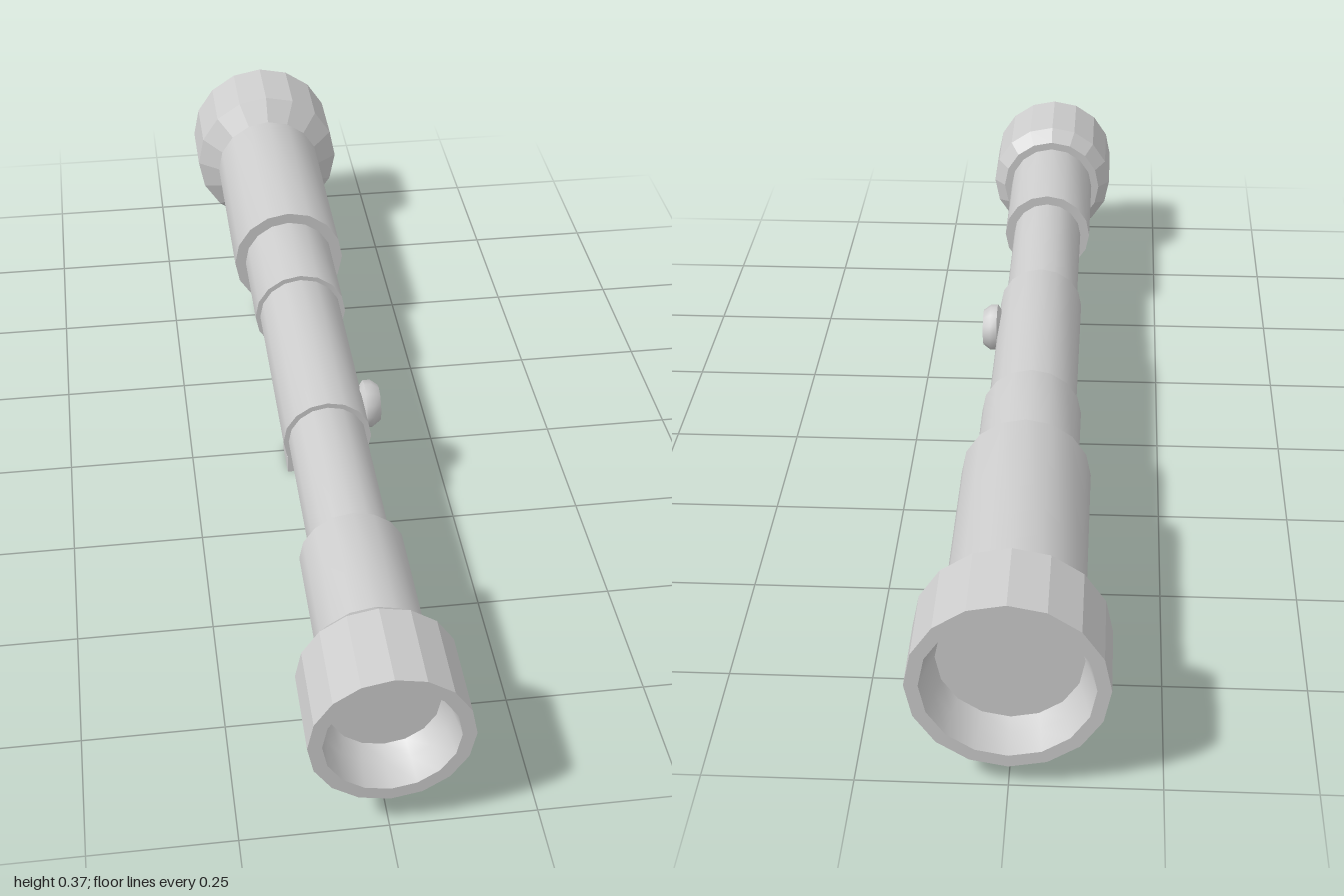
import * as THREE from 'three';
import { toCreasedNormals } from 'three/addons/utils/BufferGeometryUtils.js';

const AXIS_Y = 0.203;
const SIDES = 16;

const smooth = new THREE.MeshStandardMaterial({ color: 0xcccccc, side: THREE.DoubleSide });
const faceted = new THREE.MeshStandardMaterial({ color: 0xcccccc, side: THREE.DoubleSide, flatShading: true });

export function createModel() {
  const model = new THREE.Group();
  model.name = 'scope';

  const add = (name, geometry, material = smooth) => {
    const mesh = new THREE.Mesh(geometry, material);
    mesh.name = name;
    model.add(mesh);
    return mesh;
  };

  // Surface of revolution about the optical axis from [radius, z] pairs, z rising on the outside
  const turned = (name, profile, material = smooth) => {
    const points = profile.map(([r, z]) => new THREE.Vector2(r, z));
    const geometry = new THREE.LatheGeometry(points, SIDES).rotateX(Math.PI / 2).translate(0, AXIS_Y, 0);
    return add(name, material === smooth ? toCreasedNormals(geometry, 0.6) : geometry, material);
  };

  // Stepped body tubes: name, radius, back z, front z
  const tubes = [
    ['objectiveTube', 0.118, -0.83, -0.41],
    ['rearSleeve', 0.095, -0.42, -0.2],
    ['middleTube', 0.085, -0.21, 0.225],
    ['narrowTube', 0.075, 0.215, 0.56],
    ['eyepieceTube', 0.095, 0.555, 0.82],
  ];
  for (const [name, r, back, front] of tubes) turned(name, [[0, back], [r, back], [r, front], [0, front]]);

  // Eyepiece cup with recessed lens
  turned('eyepieceCup', [[0.09, 0.81], [0.112, 0.81], [0.137, 0.84], [0.137, 1], [0.113, 1]], faceted);
  turned('eyepieceRecess', [[0.113, 1], [0.106, 0.95], [0.094, 0.92]]);
  turned('eyepieceLens', [[0.096, 0.92], [0, 0.92]]);

  // Objective bell with recessed lens
  turned('objectiveLens', [[0, -0.93], [0.122, -0.93]]);
  turned('objectiveRecess', [[0.12, -0.93], [0.13, -0.96], [0.14, -1]]);
  turned('objectiveBell', [[0.14, -1], [0.163, -1], [0.163, -0.855], [0.118, -0.82]], faceted);

  // Adjustment knob on the left side
  const knobProfile = [[0, 0.06], [0.034, 0.06], [0.036, 0.078], [0.047, 0.086], [0.047, 0.1], [0.036, 0.115], [0, 0.116]];
  const knob = new THREE.LatheGeometry(knobProfile.map(([r, h]) => new THREE.Vector2(r, h)), 12);
  knob.rotateZ(-Math.PI / 2).translate(0, AXIS_Y, 0.125);
  add('adjustmentKnob', toCreasedNormals(knob, 0.8));

  // Arched mounting feet, mirrored outline extruded along the tube
  const foot = (name, neck, z, depth) => {
    const half = [[0, 0.065], [0.026, 0.064], [0.037, 0.055], [0.045, 0.038], [0.045, 0],
      [0.06, 0], [0.06, 0.038], [0.037, 0.07], ...neck];
    const mirrored = half.slice(1).reverse().map(([x, y]) => [-x, y]);
    const shape = new THREE.Shape([...half, ...mirrored].map(([x, y]) => new THREE.Vector2(x, y)));
    const geometry = new THREE.ExtrudeGeometry(shape, { depth, bevelEnabled: false });
    geometry.translate(0, 0, z - depth / 2);
    add(name, toCreasedNormals(geometry, 0.6));
  };
  foot('frontFoot', [[0.034, 0.085], [0.04, 0.105], [0.052, 0.128], [0.04, 0.15]], 0.03, 0.08);
  foot('rearFoot', [[0.04, 0.085], [0.05, 0.1]], -0.52, 0.07);

  // Thin strip joining the feet
  const strip = new THREE.PlaneGeometry(0.007, 0.5).rotateX(-Math.PI / 2).translate(0.055, 0.001, -0.245);
  add('footStrip', strip);

  return model;
}
